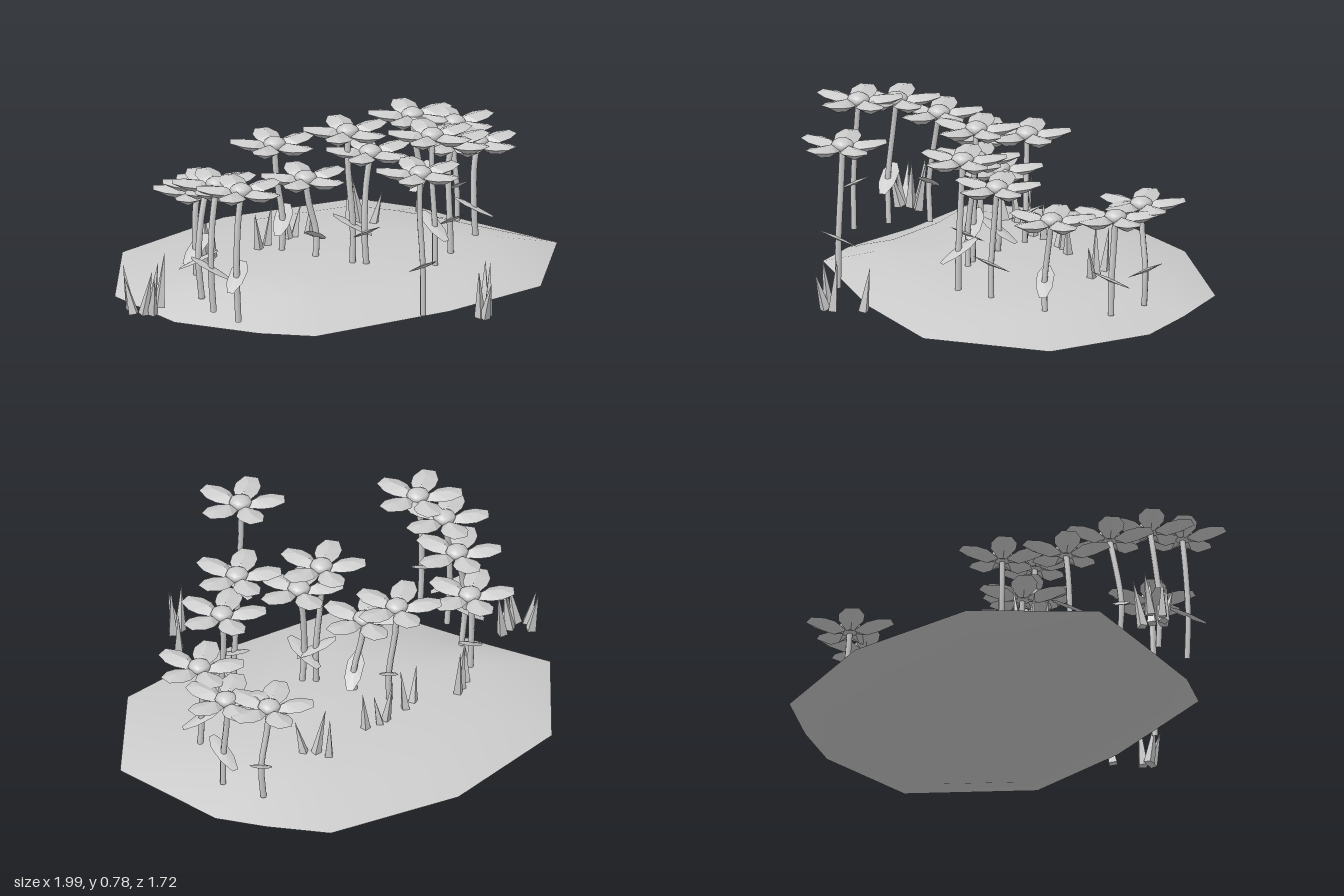
import * as THREE from 'three';
import { ConvexGeometry } from 'three/addons/geometries/ConvexGeometry.js';

const V = (x, y, z) => new THREE.Vector3(x, y, z);

// Outline of the mound: x, z, rim height
const OUTLINE = [
  [0.06, -0.875, 0.10], [0.634, -0.75, 0.10], [0.80, -0.53, 0.09], [0.90, -0.33, 0.07],
  [1.0, 0.163, 0.096], [0.63, 0.564, 0.096], [0.15, 0.595, 0.095], [-0.47, 0.516, 0.09],
  [-0.62, 0.33, 0.08], [-0.79, -0.03, 0.06], [-0.87, -0.34, 0.10], [-0.526, -0.767, 0.10],
];

// Skin of shrinking rings [scale, height], smooth inside and sharp at the rim
function moundSkin(levels, cz, up) {
  const n = OUTLINE.length, pos = [], index = [];
  const rings = [null, ...levels];
  rings.forEach((lv) => OUTLINE.forEach(([x, z, y]) => {
    if (!lv) pos.push(x, y, z);
    else pos.push(0.08 + (x - 0.08) * lv[0], lv[1], cz + (z - cz) * lv[0]);
  }));
  const tri = (a, b, c) => (up ? index.push(a, b, c) : index.push(a, c, b));
  for (let r = 0; r < levels.length; r++) {
    for (let i = 0; i < n; i++) {
      const j = (i + 1) % n, o = r * n, q = o + n;
      tri(o + i, q + i, o + j);
      if (levels[r][0] > 0) tri(o + j, q + i, q + j);
    }
  }
  const g = new THREE.BufferGeometry();
  g.setAttribute('position', new THREE.Float32BufferAttribute(pos, 3));
  g.setIndex(index);
  g.computeVertexNormals();
  return g;
}

// Faceted petal pointing along +x, cupped slightly upward
function petalGeometry() {
  const pts = [V(0.06, 0.008, 0), V(0.13, 0.012, 0), V(0.07, -0.045, 0), V(0.12, -0.036, 0)];
  for (const s of [-1, 1]) {
    pts.push(V(0.02, -0.025, s * 0.015), V(0.085, -0.01, s * 0.052),
      V(0.13, -0.004, s * 0.054), V(0.182, 0.002, s * 0.028));
  }
  return new ConvexGeometry(pts);
}

// Faceted leaf, long along x and thin in y
function leafGeometry() {
  const pts = [V(0.01, 0.008, 0), V(0.01, -0.008, 0)];
  for (const s of [-1, 1]) {
    pts.push(V(-0.09, 0, s * 0.014), V(-0.03, 0, s * 0.034), V(0.045, 0, s * 0.036), V(0.092, 0, s * 0.014));
  }
  return new ConvexGeometry(pts);
}

// x, z, head height, stem base offset x and z, leaf turn
const FLOWERS = [
  [-0.666, 0.265, 0.70, -0.02, 0.01, 0.6], [-0.666, 0.094, 0.68, -0.03, 0.02, 2.4],
  [-0.60, -0.067, 0.62, -0.04, 0.02, -0.8], [-0.527, -0.238, 0.53, -0.01, 0.01, 0.4],
  [-0.13, -0.249, 0.645, 0.02, 0.02, 0.7], [-0.08, -0.10, 0.53, 0.03, 0.02, 3.8],
  [0.024, 0.05, 0.755, 0.01, 0.02, 2.5], [0.11, 0.09, 0.66, -0.03, 0.02, -1.4],
  [0.313, 0.243, 0.735, 0, 0.02, 1.6], [0.463, 0.158, 0.65, -0.01, 0.02, -1.5],
  [0.698, 0.019, 0.56, -0.02, 0.02, 2.6], [0.767, -0.238, 0.56, 0, 0.02, -1.6],
  [0.671, -0.398, 0.565, 0.03, 0, 0.5], [-0.024, 0.63, 0.75, 0.0, 0.02, -1.57],
];

// Blades of grass: x, z, lean x, lean z, base height
const BLADES = [
  [-0.96, -0.08, -0.03, -0.03, 0.12], [-0.93, -0.05, 0.02, 0.03, 0.12], [-0.88, -0.07, 0.03, 0.01, 0.12],
  [-0.83, -0.08, 0.04, -0.02, 0.12], [-0.90, -0.03, -0.02, 0.04, 0.12], [-0.94, -0.13, -0.01, -0.04, 0.12],
  [0.17, 0.78, -0.02, 0.02, 0.12], [0.21, 0.78, 0.02, -0.01, 0.12], [0.18, 0.80, 0.0, 0.05, 0.12],
  [0.27, 0.67, 0.02, -0.02, 0.12],
  [-0.40, -0.33, -0.03, 0.01, 0.15], [-0.37, -0.35, 0.01, -0.03, 0.15], [-0.45, -0.30, -0.02, 0.02, 0.15],
  [-0.17, -0.30, -0.03, 0.01, 0.15], [-0.12, -0.32, 0.02, 0.01, 0.15],
  [0.0, -0.33, -0.01, -0.04, 0.15], [0.03, -0.34, 0.03, 0.01, 0.15], [0.10, -0.33, 0.01, 0.01, 0.15],
  [0.34, -0.38, 0.01, -0.02, 0.15], [0.37, -0.33, -0.04, -0.02, 0.15], [0.40, -0.30, 0.03, 0.03, 0.15],
];

export function createModel() {
  const model = new THREE.Group();
  const grey = new THREE.MeshStandardMaterial({ color: 0xcccccc });
  grey.name = 'light grey';
  const add = (parent, name, geo) => {
    const m = new THREE.Mesh(geo, grey);
    m.name = name;
    parent.add(m);
    return m;
  };

  // Ground mound
  const mound = new THREE.Group();
  mound.name = 'mound';
  model.add(mound);
  add(mound, 'moundTop', moundSkin([[0.72, 0.155], [0.4, 0.177], [0, 0.185]], -0.06, true));
  add(mound, 'moundUnderside', moundSkin([[0.72, 0.025], [0.35, 0.006], [0, 0]], -0.1, false));

  // Flowers
  const petal = petalGeometry(), leaf = leafGeometry();
  const heart = new THREE.SphereGeometry(0.048, 10, 6).scale(1, 0.6, 1);
  for (const [x, z, h, bx, bz, turn] of FLOWERS) {
    const flower = new THREE.Group();
    flower.name = 'flower';
    flower.position.set(x, 0, z);
    model.add(flower);

    // Gently bent stem
    const path = new THREE.CatmullRomCurve3([
      V(bx, 0.13, bz), V(bx * 1.4, 0.13 + (h - 0.13) * 0.35, bz * 0.9),
      V(bx * 0.6 - 0.006, 0.13 + (h - 0.13) * 0.72, bz * 0.2), V(0, h - 0.02, 0),
    ]);
    add(flower, 'stem', new THREE.TubeGeometry(path, 8, 0.013, 6));

    // Tilted leaf crossing the stem
    const t = 0.36;
    const blade = add(flower, 'leaf', leaf);
    blade.position.copy(path.getPoint(t));
    blade.position.y = 0.27 + (h - 0.53) * 0.32;
    blade.rotation.set(0, turn, 0.5, 'YXZ');

    // Five petals around a domed centre
    const head = new THREE.Group();
    head.name = 'flowerHead';
    head.position.y = h;
    flower.add(head);
    for (let i = 0; i < 5; i++) add(head, 'petal', petal).rotation.y = (i * Math.PI * 2) / 5;
    add(head, 'flowerCentre', heart).position.y = -0.006;
  }

  // Grass blades
  BLADES.forEach(([x, z, lx, lz, y], i) => {
    const height = 0.17 + 0.06 * ((i * 5) % 4) / 3;
    const cone = new THREE.ConeGeometry(0.024, height, 4, 1).toNonIndexed();
    cone.translate(0, height / 2, 0).rotateY(i * 0.7);
    cone.computeVertexNormals();
    const blade = add(model, 'grassBlade', cone);
    blade.position.set(x, y, z);
    blade.quaternion.setFromUnitVectors(V(0, 1, 0), V(lx, height, lz).normalize());
  });
  return model;
}
